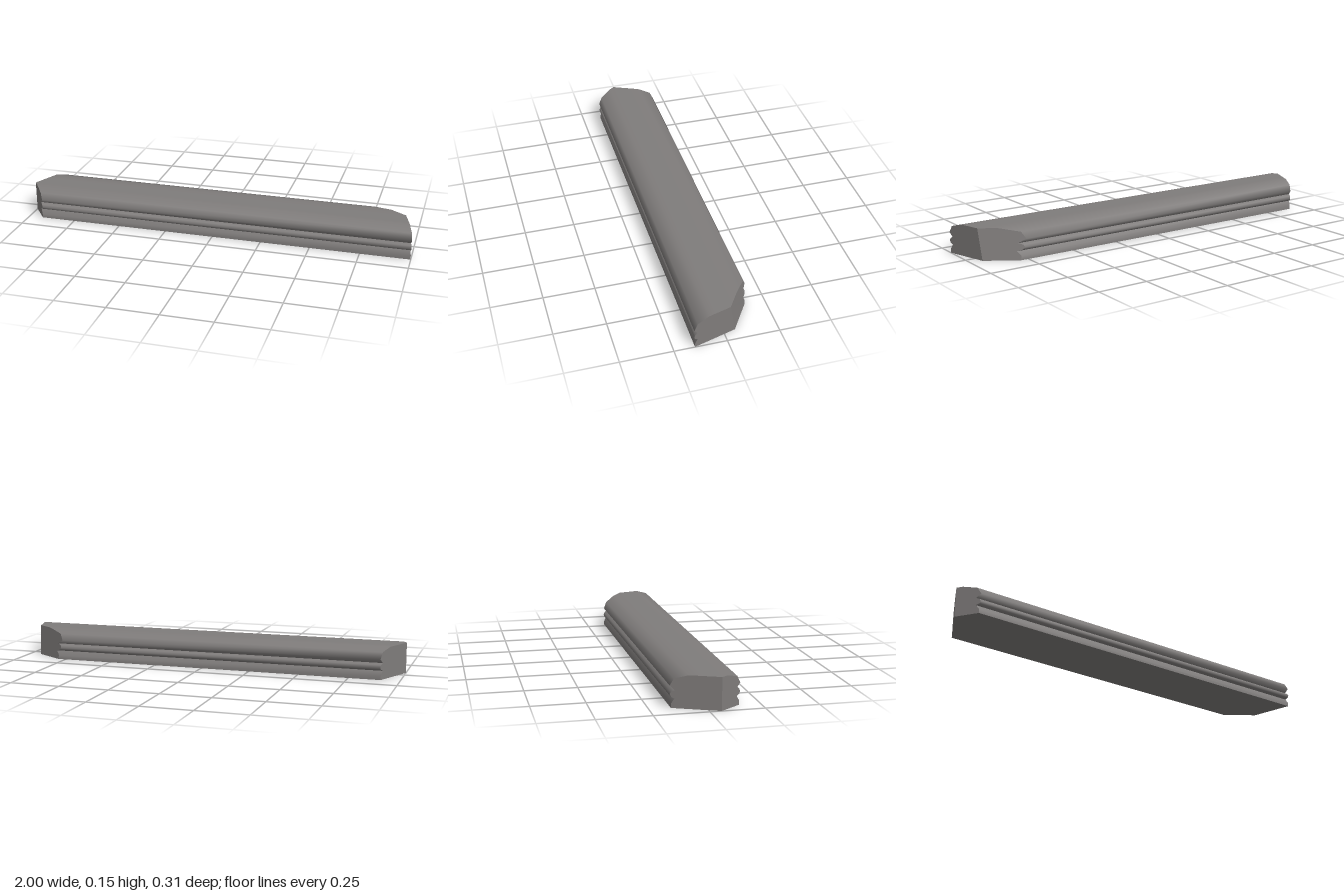
import * as THREE from 'three';
import { toCreasedNormals } from 'three/addons/utils/BufferGeometryUtils.js';

// Half of the moulded cross-section as [z, y], from the bottom edge up
const HALF = [
  [0.152, 0], [0.152, 0.02], [0.138, 0.043], [0.152, 0.05], [0.157, 0.061],
  [0.152, 0.073], [0.138, 0.081], [0.157, 0.101], [0.14, 0.134], [0.08, 0.152],
];
const APEX = 0.053;

// Closed section, with extra points where the end cuts meet
const LOOP = [
  ...HALF,
  [APEX, 0.152], [-0.028, 0.152],
  ...HALF.map(([z, y]) => [-z, y]).reverse(),
  [-0.055, 0], [APEX, 0],
];

// Where the slanted end cuts meet each section point
const rightX = ([z, y]) =>
  Math.min(1 + 0.286 * (z - 0.155), 0.94 + 1.54 * (z + 0.055) - 0.22 * y);
const leftX = ([z]) => -1 + Math.max(0.45 * (APEX - z), 0.75 * (z - APEX));

const point = (p, endX) => [endX(p), p[1], p[0]];

function fromTriangles(positions) {
  const geometry = new THREE.BufferGeometry();
  geometry.setAttribute('position', new THREE.Float32BufferAttribute(positions, 3));
  geometry.computeVertexNormals();
  return geometry;
}

// Long faces running from end to end
function moulding() {
  const out = [];
  LOOP.forEach((p, i) => {
    const q = LOOP[(i + 1) % LOOP.length];
    const a = point(p, leftX), b = point(p, rightX);
    const c = point(q, rightX), d = point(q, leftX);
    out.push(...a, ...b, ...c, ...a, ...c, ...d);
  });
  return toCreasedNormals(fromTriangles(out), THREE.MathUtils.degToRad(80));
}

// One flat cut face, facing along the given x direction
function cutFace(points, endX, direction) {
  const outline = points.map(([z, y]) => new THREE.Vector2(z, y));
  const out = [];
  for (const [i, j, k] of THREE.ShapeUtils.triangulateShape(outline, [])) {
    const a = outline[i], b = outline[j], c = outline[k];
    const turn = (b.x - a.x) * (c.y - a.y) - (b.y - a.y) * (c.x - a.x);
    const order = turn * direction < 0 ? [i, j, k] : [i, k, j];
    order.forEach((n) => out.push(...point(points[n], endX)));
  }
  return fromTriangles(out);
}

export function createModel() {
  const group = new THREE.Group();
  group.name = 'mouldedBar';
  const grey = new THREE.MeshStandardMaterial({ color: 0x7f7c7b });
  grey.name = 'grey';

  const add = (name, geometry) => {
    const mesh = new THREE.Mesh(geometry, grey);
    mesh.name = name;
    group.add(mesh);
  };

  add('moulding', moulding());

  // Each end is cut by two planes meeting at an edge
  add('positiveEndFace', cutFace([...LOOP.slice(0, 12), ...LOOP.slice(22)], rightX, 1));
  add('positiveEndChamfer', cutFace(LOOP.slice(11, 23), rightX, 1));
  add('negativeEndFace', cutFace(LOOP.slice(10), leftX, -1));
  add('negativeEndChamfer', cutFace([...LOOP.slice(0, 11), LOOP[23]], leftX, -1));

  return group;
}
